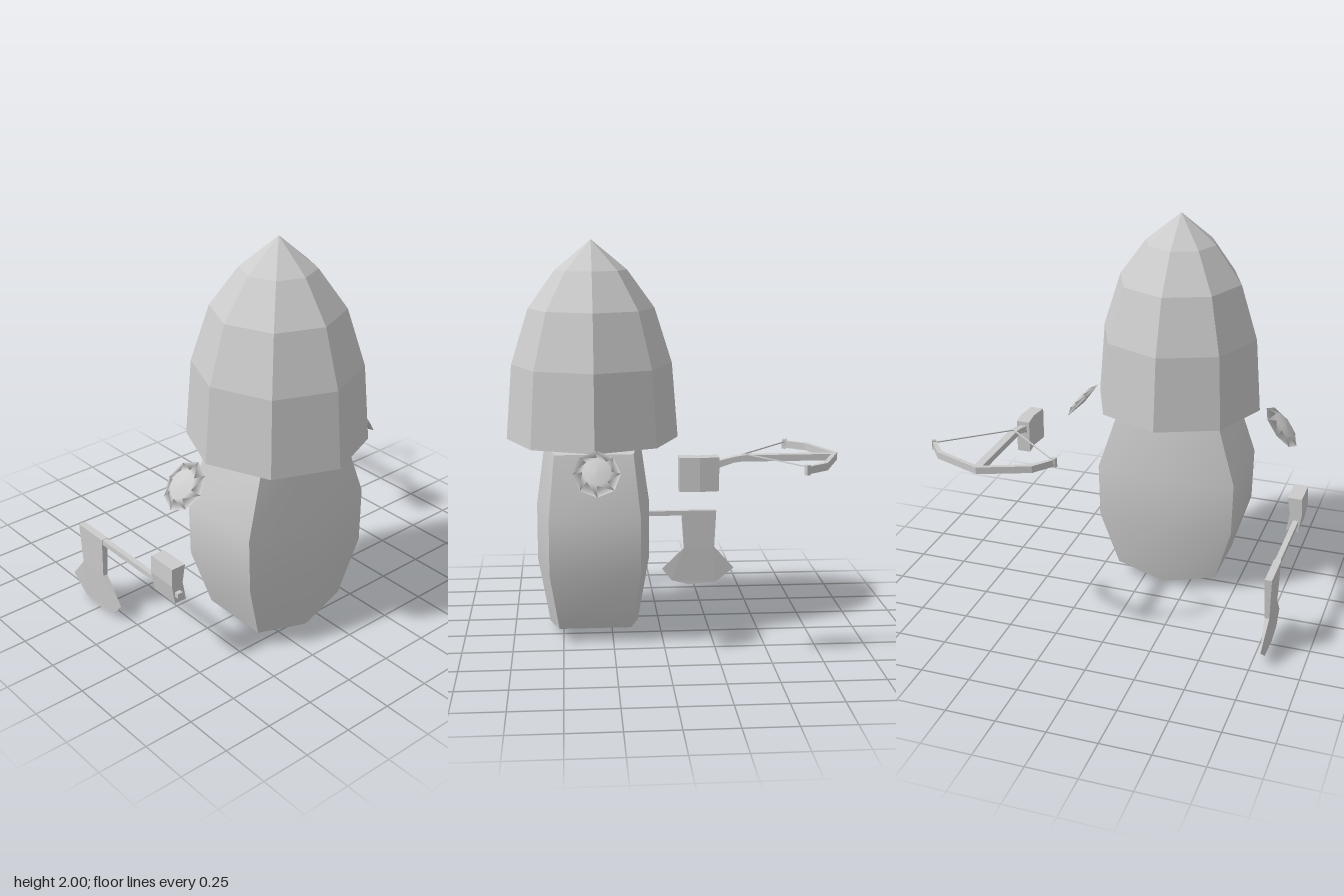
import * as THREE from 'three';
import { toCreasedNormals } from 'three/addons/utils/BufferGeometryUtils.js';

const flat = new THREE.MeshStandardMaterial({ color: 0xcccccc, flatShading: true });
const smooth = new THREE.MeshStandardMaterial({ color: 0xcccccc });
const CX = -0.13, CZ = 0.34;

function part(name, geometry, material = flat) {
  const mesh = new THREE.Mesh(geometry, material);
  mesh.name = name;
  return mesh;
}

function prism(points, depth) {
  const shape = new THREE.Shape(points.map(([x, y]) => new THREE.Vector2(x, y)));
  return new THREE.ExtrudeGeometry(shape, { depth, bevelEnabled: false });
}

// Outline in x,z raised from y0 to y1
function prismY(points, y0, y1) {
  return prism(points.map(([x, z]) => [x, -z]), y1 - y0).rotateX(-Math.PI / 2).translate(0, y0, 0);
}

// Outline in z,y given a width across x, centred on x
function prismX(points, width, x) {
  return prism(points, width).rotateY(-Math.PI / 2).translate(x + width / 2, 0, 0);
}

// Thin straight rod between two points
function rod(a, b, radius, sides) {
  const from = new THREE.Vector3(...a), dir = new THREE.Vector3(...b).sub(from);
  const geo = new THREE.CylinderGeometry(radius, radius, dir.length(), sides);
  geo.applyQuaternion(new THREE.Quaternion().setFromUnitVectors(
    new THREE.Vector3(0, 1, 0), dir.clone().normalize()));
  return geo.translate(...from.addScaledVector(dir, 0.5).toArray());
}

// Six-sided barrel: four corner columns and a bulging column front and back
function bodyGeometry() {
  // corner y, half width, corner half depth, middle y, middle half depth
  const rows = [
    [0.077, 0.27, 0.18, 0.03, 0.228],
    [0.38, 0.36, 0.225, 0.37, 0.288],
    [0.66, 0.366, 0.225, 0.66, 0.288],
    [0.965, 0.27, 0.195, 1.005, 0.24],
  ];
  const pos = [], index = [];
  for (const [y, w, d, my, md] of rows) {
    pos.push(w, y, d, w, y, -d, 0, my, -md, -w, y, -d, -w, y, d, 0, my, md);
  }
  for (let r = 0; r < 3; r++) {
    for (let i = 0; i < 6; i++) {
      const a = r * 6 + i, b = r * 6 + (i + 1) % 6;
      index.push(a, b, b + 6, a, b + 6, a + 6);
    }
  }
  // Roof-shaped ends, ridge running front to back
  for (const [a, b, c, d] of [[0, 5, 2, 1], [5, 4, 3, 2]]) {
    index.push(a, b, c, a, c, d);
    index.push(a + 18, c + 18, b + 18, a + 18, d + 18, c + 18);
  }
  const geo = new THREE.BufferGeometry();
  geo.setAttribute('position', new THREE.Float32BufferAttribute(pos, 3));
  geo.setIndex(index);
  return toCreasedNormals(geo, 0.7);
}

// Flat lens with eight sides
function earGeometry() {
  const profile = [[0, -0.012], [0.126, 0], [0.075, 0.022], [0, 0.028]];
  const geo = new THREE.LatheGeometry(profile.map(([r, y]) => new THREE.Vector2(r, y)), 8);
  return geo.scale(1, 1, 0.91);
}

function createAxe() {
  const axe = new THREE.Group();
  axe.name = 'axe';
  const x = -0.8;

  // Bent fist around the handle
  const fist = prism([[-0.826, 0.57], [-0.831, 0.48], [-0.815, 0.38],
    [-0.752, 0.38], [-0.768, 0.48], [-0.752, 0.57]], 0.16).translate(0, 0, 0.25);
  axe.add(part('axeHand', fist));

  const handle = new THREE.BoxGeometry(0.027, 0.027, 0.68).translate(x, 0.43, 0.093);
  axe.add(part('axeHandle', handle));

  // Blade thins from the handle down to the cutting edge
  const blade = prismX([[-0.175, 0.445], [-0.375, 0.445], [-0.365, 0.225], [-0.48, 0.097],
    [-0.375, 0.015], [-0.22, 0.003], [-0.12, 0.03], [-0.065, 0.1], [-0.19, 0.225]], 2, 0);
  const p = blade.attributes.position;
  for (let i = 0; i < p.count; i++) {
    const y = p.getY(i);
    const half = y > 0.4 ? 0.018 : y > 0.2 ? 0.012 : 0.001;
    p.setX(i, x + p.getX(i) * half);
  }
  axe.add(part('axeBlade', blade));
  return axe;
}

function createCrossbow() {
  const bow = new THREE.Group();
  bow.name = 'crossbow';
  const x = 0.505;

  const fist = prismY([[0.474, -0.23], [0.485, -0.14], [0.474, -0.045],
    [0.54, -0.045], [0.55, -0.14], [0.54, -0.23]], 0.865, 1.025);
  bow.add(part('crossbowHand', fist));

  // Straight stock and its narrower dropped grip
  bow.add(part('crossbowStock', prismX([[-0.78, 1], [-0.78, 1.03], [-0.34, 1.03], [-0.34, 1]], 0.04, x)));
  bow.add(part('crossbowGrip', prismX([[-0.34, 1], [-0.34, 1.028], [-0.3, 1.022], [-0.23, 1.005],
    [-0.2, 0.99], [-0.2, 0.95], [-0.24, 0.975], [-0.3, 0.995]], 0.034, x)));

  // Bow limbs, tips and string, mirrored about the stock
  for (const s of [1, -1]) {
    const limb = prismY([[0, -0.788], [0.24, -0.695], [0.318, -0.592], [0.3, -0.588],
      [0.225, -0.678], [0, -0.766]].map(([u, z]) => [x + s * u, z]), 1, 1.034);
    bow.add(part('bowLimb', limb));
    const tip = new THREE.BoxGeometry(0.022, 0.046, 0.018).rotateY(s * 0.45);
    bow.add(part('bowTip', tip.translate(x + s * 0.309, 1.018, -0.59)));
    bow.add(part('bowString', rod([x + s * 0.305, 1.03, -0.595], [x, 1.033, -0.35], 0.004, 4)));
  }
  return bow;
}

export function createModel() {
  const model = new THREE.Group();
  model.name = 'hoodedFigure';

  const body = part('body', bodyGeometry(), smooth);
  body.position.set(CX, 0, CZ);
  model.add(body);

  // Eight-sided pointed hood with a closed underside
  const profile = [[0, 1], [0.435, 1], [0.405, 1.38], [0.317, 1.66], [0.18, 1.85], [0, 2]];
  const hood = part('hood', new THREE.LatheGeometry(
    profile.map(([r, y]) => new THREE.Vector2(r, y)), 8));
  hood.position.set(CX, 0, CZ);
  model.add(hood);

  // Drooping ears either side of the hood
  for (const s of [1, -1]) {
    const ear = part(s > 0 ? 'leftEar' : 'rightEar', earGeometry(), smooth);
    ear.position.set(-0.141 + s * 0.543, 0.925, 0.333);
    ear.rotation.z = -s * 0.856;
    model.add(ear);
  }

  model.add(createAxe(), createCrossbow());
  return model;
}
